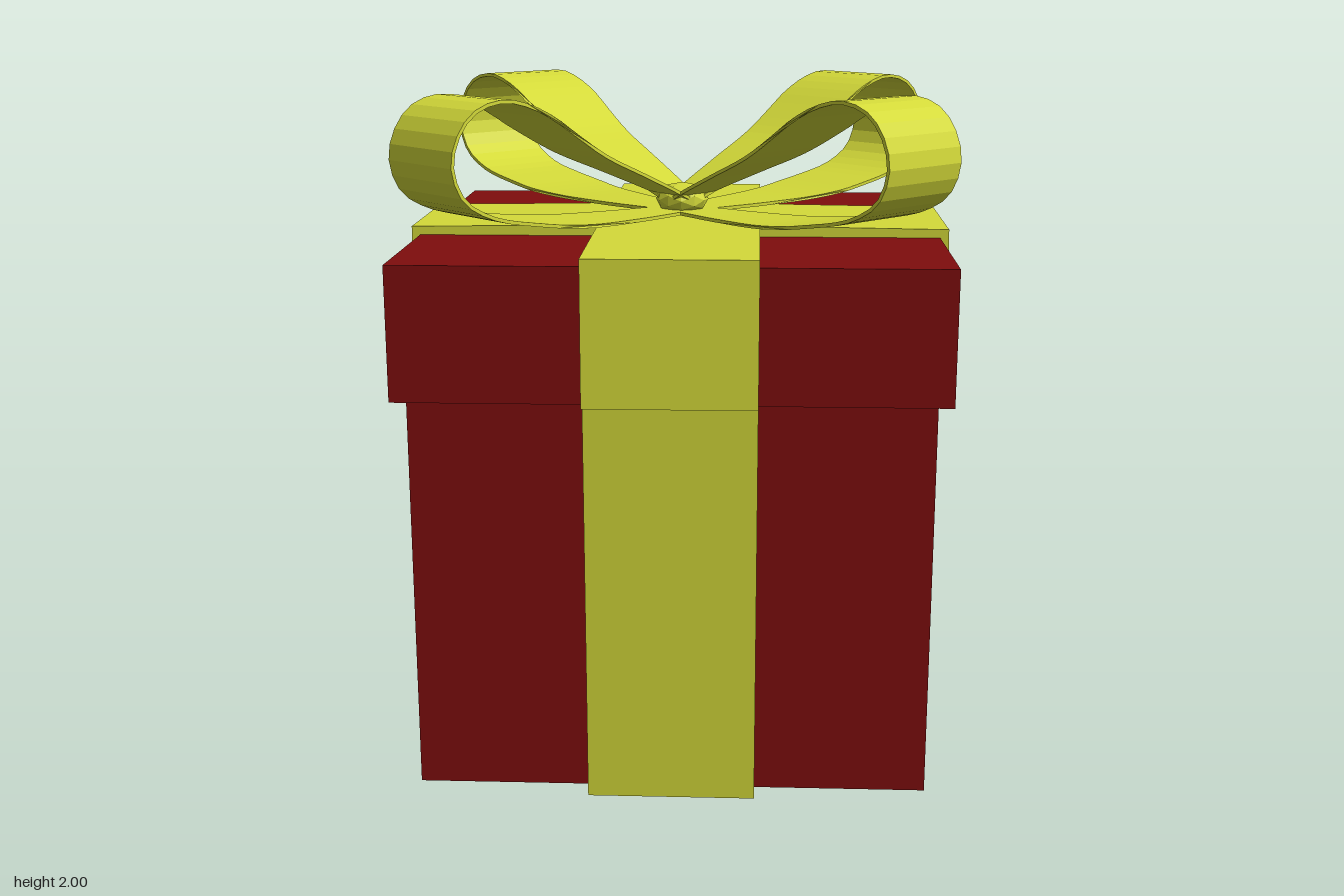
import * as THREE from 'three';

const red = new THREE.MeshStandardMaterial({ name: 'dark red paper', color: 0x7f0d0d, flatShading: true });
const yellow = new THREE.MeshStandardMaterial({ name: 'yellow ribbon', color: 0xd4da39, flatShading: true });

const RIBBON_WIDTH = 0.48;

function addMesh(parent, name, geometry, material) {
  const mesh = new THREE.Mesh(geometry, material);
  mesh.name = name;
  parent.add(mesh);
  return mesh;
}

function addBox(parent, name, width, bottom, top) {
  const mesh = addMesh(parent, name, new THREE.BoxGeometry(width, top - bottom, width), red);
  mesh.position.y = (top + bottom) / 2;
}

// Two crossing bands whose mirrored side profile is given by its right half
function addRibbonCross(parent, name, half) {
  const mirrored = half.map(([x, y]) => [-x, y]).reverse();
  const shape = new THREE.Shape([...half, ...mirrored].map(([x, y]) => new THREE.Vector2(x, y)));
  const geometry = new THREE.ExtrudeGeometry(shape, { depth: RIBBON_WIDTH, bevelEnabled: false });
  geometry.translate(0, 0, -RIBBON_WIDTH / 2);
  for (let i = 0; i < 2; i++) {
    addMesh(parent, name, geometry, yellow).rotation.y = i * Math.PI / 2;
  }
}

// Thin bow loop: side outline with an inner offset, tapering towards the knot
function bowLoopGeometry() {
  const curve = new THREE.CatmullRomCurve3([
    [0.03, 1.612], [0.27, 1.614], [0.48, 1.622], [0.66, 1.645], [0.83, 1.682],
    [0.925, 1.74], [0.96, 1.835], [0.93, 1.925], [0.87, 1.98], [0.78, 2.0], [0.7, 1.985],
    [0.62, 1.95], [0.53, 1.895], [0.4, 1.822], [0.24, 1.755], [0.09, 1.692], [0.03, 1.665],
  ].map(([r, y]) => new THREE.Vector3(r, y, 0)));
  const thickness = 0.01;
  const outer = [], inner = [];
  const steps = 48;
  for (let i = 0; i <= steps; i++) {
    const p = curve.getPointAt(i / steps);
    const t = curve.getTangentAt(i / steps);
    outer.push(new THREE.Vector2(p.x, p.y));
    inner.push(new THREE.Vector2(p.x - t.y * thickness, p.y + t.x * thickness));
  }
  const shape = new THREE.Shape([...outer, ...inner.reverse()]);
  const geometry = new THREE.ExtrudeGeometry(shape, { depth: 2, bevelEnabled: false });
  geometry.translate(0, 0, -1);
  const pos = geometry.attributes.position;
  for (let i = 0; i < pos.count; i++) {
    const taper = THREE.MathUtils.clamp((pos.getX(i) - 0.074) / 0.5, -0.1, 1);
    pos.setZ(i, pos.getZ(i) * (0.074 + 0.074 * taper));
  }
  geometry.computeVertexNormals();
  return geometry;
}

export function createModel() {
  const model = new THREE.Group();
  model.name = 'giftBox';

  // Box and lid
  addBox(model, 'boxBody', 1.46, 0.04, 1.2);
  addBox(model, 'lid', 1.54, 1.19, 1.57);

  // Slightly flared bands around body and lid
  addRibbonCross(model, 'bodyRibbon', [[0.24, 0.004], [0.755, 0.016], [0.77, 1.2]]);
  addRibbonCross(model, 'lidRibbon', [[0.806, 1.187], [0.795, 1.595], [0.24, 1.602]]);

  // Bow with four diagonal loops and a knot
  const bow = new THREE.Group();
  bow.name = 'bow';
  model.add(bow);
  const loop = bowLoopGeometry();
  for (let i = 0; i < 4; i++) {
    addMesh(bow, 'bowLoop', loop, yellow).rotation.y = Math.PI / 4 + i * Math.PI / 2;
  }
  const knot = addMesh(bow, 'knot', new THREE.IcosahedronGeometry(0.085, 1), yellow);
  knot.scale.set(0.95, 0.6, 0.92);
  knot.position.y = 1.65;

  return model;
}
